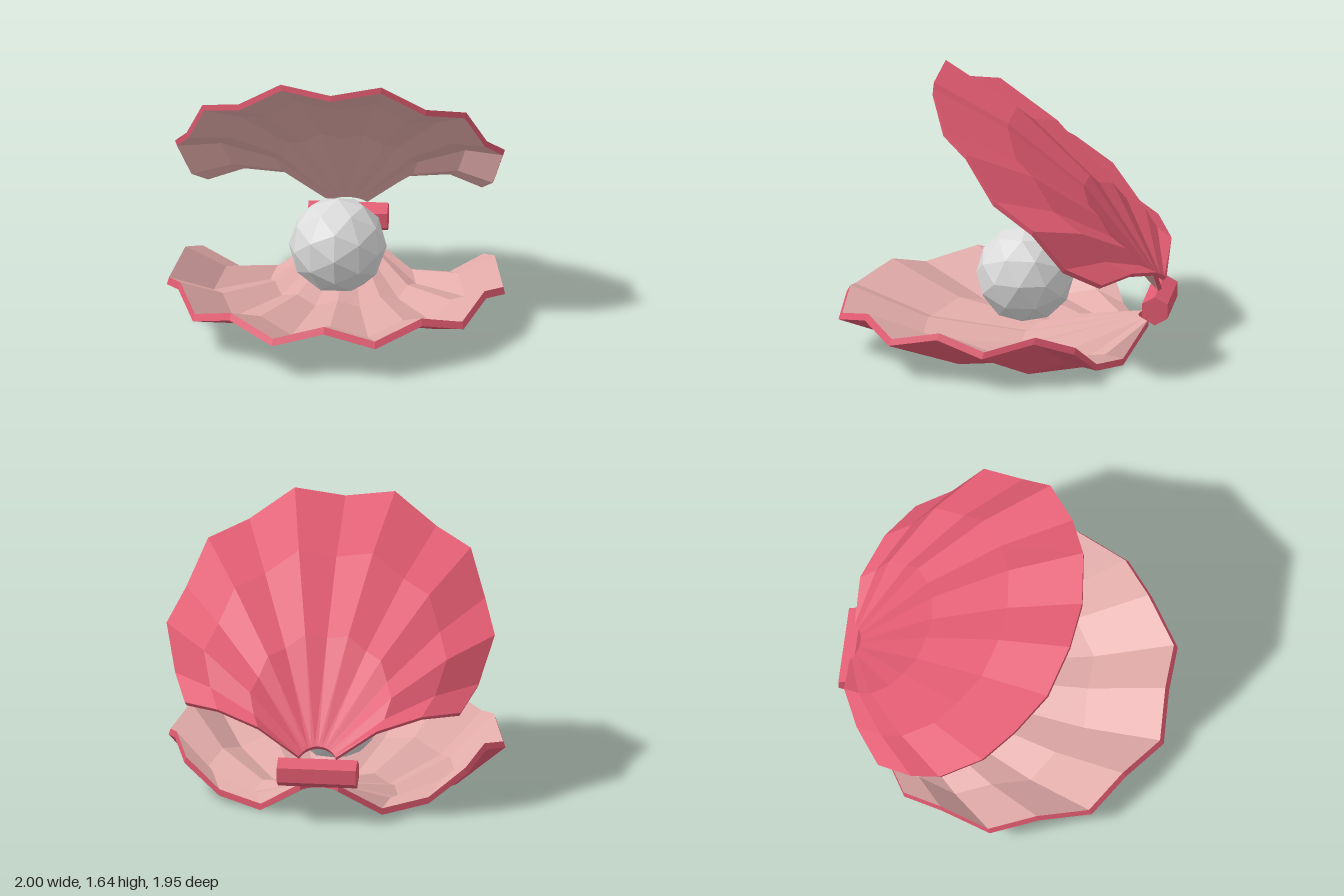
import * as THREE from 'three';

const mat = (name, color) => {
  const m = new THREE.MeshStandardMaterial({ color, flatShading: true });
  m.name = name;
  return m;
};

const HINGE_Y = 0.3, HINGE_Z = -0.9;

// Half of the scalloped rim as [x, z] measured from the hinge; even entries are ridges.
const RIM = [[0, 1.86], [0.305, 1.87], [0.57, 1.68], [0.8, 1.51],
  [0.91, 1.21], [1.0, 0.93], [0.925, 0.63], [0.84, 0.4]];
const N = RIM.length - 1;

// Bowl cross-section: t along the ray, outer height, extra height on ridges.
const RINGS = [[0, 0.17, 0], [0.43, 0, 0.035], [0.74, 0.04, 0.06], [1, 0.2, 0.08]];
const LAST = RINGS.length - 1;
const THICK = 0.04, NECK = 0.125;

// One ribbed valve in hinge coordinates; flip turns it over into the lid.
function shellGeometry(flip, widthScale, depthScale) {
  const point = (k, j, inner) => {
    const [rx, rz] = RIM[Math.abs(k)];
    const [t, y, bump] = RINGS[j];
    const len = Math.hypot(rx, rz);
    let s = j === 0 ? NECK / len : t;
    if (inner && j === LAST) s *= 0.988;
    const h = y + (k % 2 === 0 ? bump : 0) + (inner ? THICK : 0) - HINGE_Y;
    return [Math.sign(k) * rx * s * widthScale, (flip ? -h : h) * depthScale, rz * s];
  };
  const shellFaces = [], liningFaces = [];
  const quad = (list, a, b, c, d, reverse) => {
    const q = reverse !== flip ? [d, c, b, a] : [a, b, c, d];
    for (const i of [0, 1, 2, 0, 2, 3]) list.push(...q[i]);
  };
  for (let k = -N; k < N; k++) {
    for (let j = 0; j < LAST; j++) {
      for (const inner of [false, true]) {
        quad(inner ? liningFaces : shellFaces, point(k, j, inner), point(k + 1, j, inner),
          point(k + 1, j + 1, inner), point(k, j + 1, inner), inner);
      }
    }
    // rim and neck bands
    for (const j of [LAST, 0]) {
      quad(shellFaces, point(k, j, false), point(k + 1, j, false),
        point(k + 1, j, true), point(k, j, true), j === 0);
    }
  }
  // straight side edges
  for (const k of [N, -N]) {
    for (let j = 0; j < LAST; j++) {
      quad(shellFaces, point(k, j, false), point(k, j, true),
        point(k, j + 1, true), point(k, j + 1, false), k < 0);
    }
  }
  const g = new THREE.BufferGeometry();
  g.setAttribute('position', new THREE.Float32BufferAttribute([...shellFaces, ...liningFaces], 3));
  g.addGroup(0, shellFaces.length / 3, 0);
  g.addGroup(shellFaces.length / 3, liningFaces.length / 3, 1);
  g.computeVertexNormals();
  return g;
}

export function createModel() {
  const group = new THREE.Group();
  const red = mat('coral red', 0xe05a70);
  const pink = mat('pale pink lining', 0xe0aaa8);
  const pearlGrey = mat('pearl grey', 0xdadada);

  const add = (name, geometry, material, x, y, z) => {
    const mesh = new THREE.Mesh(geometry, material);
    mesh.name = name;
    mesh.position.set(x, y, z);
    group.add(mesh);
    return mesh;
  };

  // two valves sharing the hinge line
  add('lowerShell', shellGeometry(false, 1, 1), [red, pink], 0, HINGE_Y, HINGE_Z);
  const upper = add('upperShell', shellGeometry(true, 0.975, 0.73), [red, pink], 0, HINGE_Y, HINGE_Z);
  upper.rotation.x = -0.757;

  // hexagonal hinge bar
  const bar = new THREE.CylinderGeometry(0.087, 0.087, 0.47, 6).toNonIndexed();
  bar.rotateY(Math.PI / 2).rotateZ(Math.PI / 2).computeVertexNormals();
  add('hingeBar', bar, red, 0, HINGE_Y, HINGE_Z);

  // faceted pearl
  const pearl = new THREE.IcosahedronGeometry(0.29, 1);
  pearl.computeVertexNormals();
  add('pearl', pearl, pearlGrey, 0, 0.43, -0.1);

  return group;
}
